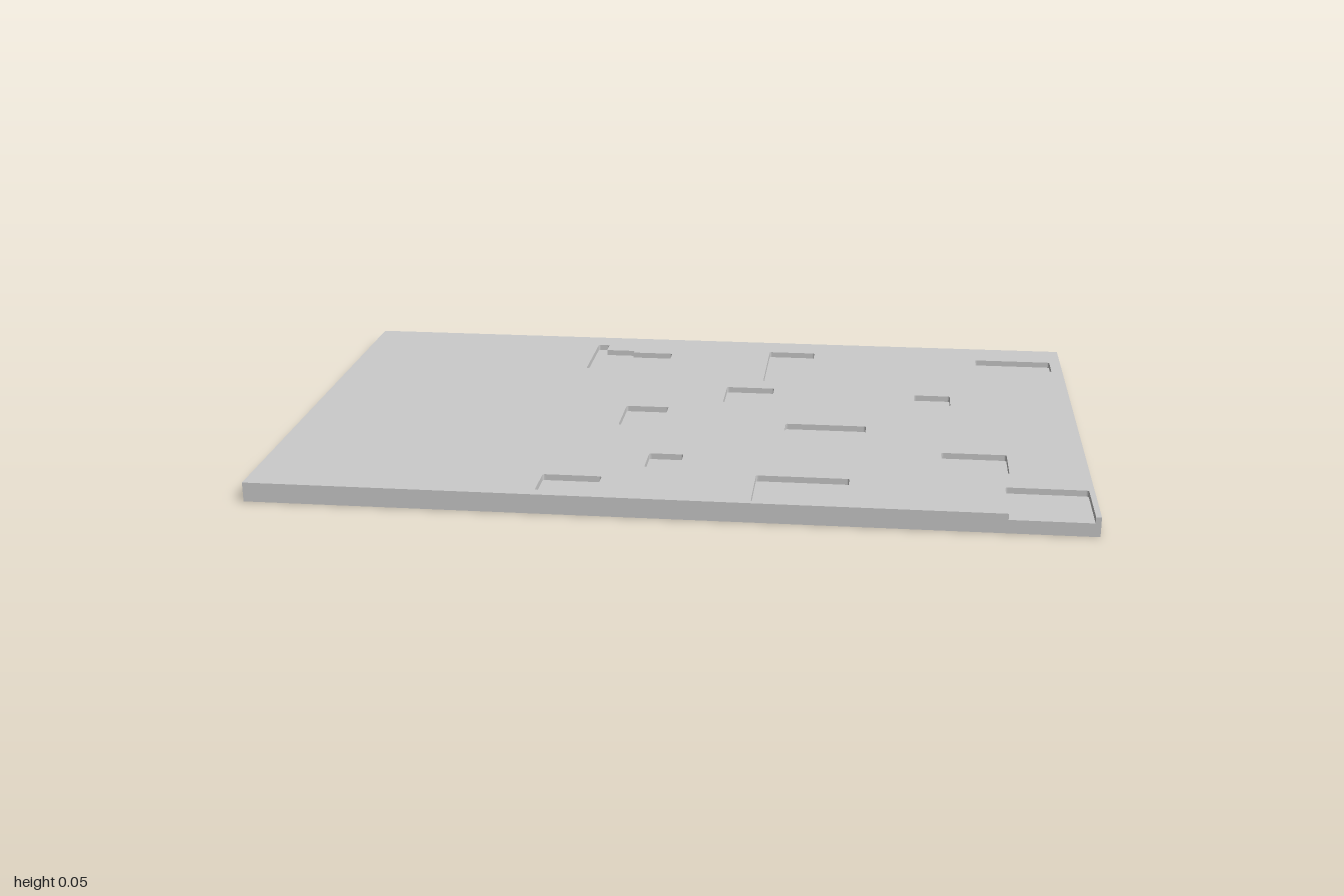
import * as THREE from 'three';
import { mergeGeometries } from 'three/addons/utils/BufferGeometryUtils.js';

const HX = 1, HZ = 0.635, TOP = 0.048, FLOOR = 0.033, R = 0.006;

// Closed outline from [x, z, cornerRadius] points, as 2D points (x, -z)
function outline(points) {
  const v = points.map(([x, z]) => new THREE.Vector2(x, -z));
  const n = v.length, out = [];
  v.forEach((p, i) => {
    const r = points[i][2] || 0;
    if (!r) { out.push(p); return; }
    const toward = (q) => p.clone().add(q.clone().sub(p).setLength(r));
    const a = toward(v[(i + n - 1) % n]), b = toward(v[(i + 1) % n]);
    out.push(...new THREE.QuadraticBezierCurve(a, p, b).getPoints(4));
  });
  return out;
}

const rect = (x0, x1, z0, z1, r = 0) =>
  [[x0, z1, r], [x1, z1, r], [x1, z0, r], [x0, z0, r]];

// Flat horizontal face at height y
function face(shape, y) {
  return new THREE.ShapeGeometry(shape).rotateX(-Math.PI / 2).translate(0, y, 0);
}

// Vertical walls along a loop; the walls look out of it, or into it for pockets
function walls(loop, y0, y1, inward = false) {
  const pts = THREE.ShapeUtils.isClockWise(loop) === inward ? loop : [...loop].reverse();
  const parts = pts.map((a, i) => {
    const b = pts[(i + 1) % pts.length];
    const g = new THREE.PlaneGeometry(a.distanceTo(b), y1 - y0);
    g.rotateY(Math.atan2(b.y - a.y, b.x - a.x));
    return g.translate((a.x + b.x) / 2, (y0 + y1) / 2, -(a.y + b.y) / 2);
  });
  return mergeGeometries(parts);
}

export function createModel() {
  const group = new THREE.Group();
  group.name = 'recessedPanel';
  const material = new THREE.MeshStandardMaterial({ color: 0xcccccc });
  const add = (name, ...geometries) => {
    const mesh = new THREE.Mesh(mergeGeometries(geometries), material);
    mesh.name = name;
    group.add(mesh);
  };

  // Rectangular pockets: x0, x1, z0, z1
  const pockets = [
    [0.17, 0.30, -0.543, -0.27],
    [0.76, 0.97, -0.527, -0.442],
    [0.076, 0.205, -0.207, -0.079],
    [0.584, 0.68, -0.19, -0.111],
    [-0.175, -0.063, -0.02, 0.13],
    [0.253, 0.46, 0.077, 0.13],
    [0.648, 0.808, 0.252, 0.38],
    [-0.068, 0.017, 0.333, 0.428],
    [-0.303, -0.16, 0.503, 0.605],
    [0.205, 0.428, 0.456, 0.621],
  ].map((p) => outline(rect(...p, R)));

  // Stepped pocket
  pockets.push(outline([
    [-0.335, -0.335, R], [-0.223, -0.335, R], [-0.223, -0.442], [-0.11, -0.442, R],
    [-0.11, -0.496, R], [-0.223, -0.496], [-0.223, -0.512], [-0.303, -0.512],
    [-0.303, -0.56, R], [-0.335, -0.56, R],
  ]));

  // Slab, with a notch open to the front edge
  const base = outline(rect(-HX, HX, -HZ, HZ));
  const [nx0, nx1, nz] = [0.793, 0.987, 0.471];
  const rim = outline([
    [-HX, HZ], [nx0, HZ], [nx0, nz, R], [nx1, nz, R], [nx1, HZ],
    [HX, HZ], [HX, -HZ], [-HX, -HZ],
  ]);
  const topShape = new THREE.Shape(rim);
  topShape.holes = pockets.map((p) => new THREE.Path(p));
  add('topSurface', face(topShape, TOP));
  add('slabSides', walls(base, 0, FLOOR), walls(rim, FLOOR, TOP));
  add('underside', face(new THREE.Shape(base), 0).rotateX(Math.PI));
  const notch = outline([[nx0, HZ], [nx1, HZ], [nx1, nz, R], [nx0, nz, R]]);
  add('notchFloor', face(new THREE.Shape(notch), FLOOR));

  // Pocket floors and walls
  pockets.forEach((p, i) =>
    add(`pocket${i + 1}`, face(new THREE.Shape(p), FLOOR), walls(p, FLOOR, TOP, true)));

  return group;
}
